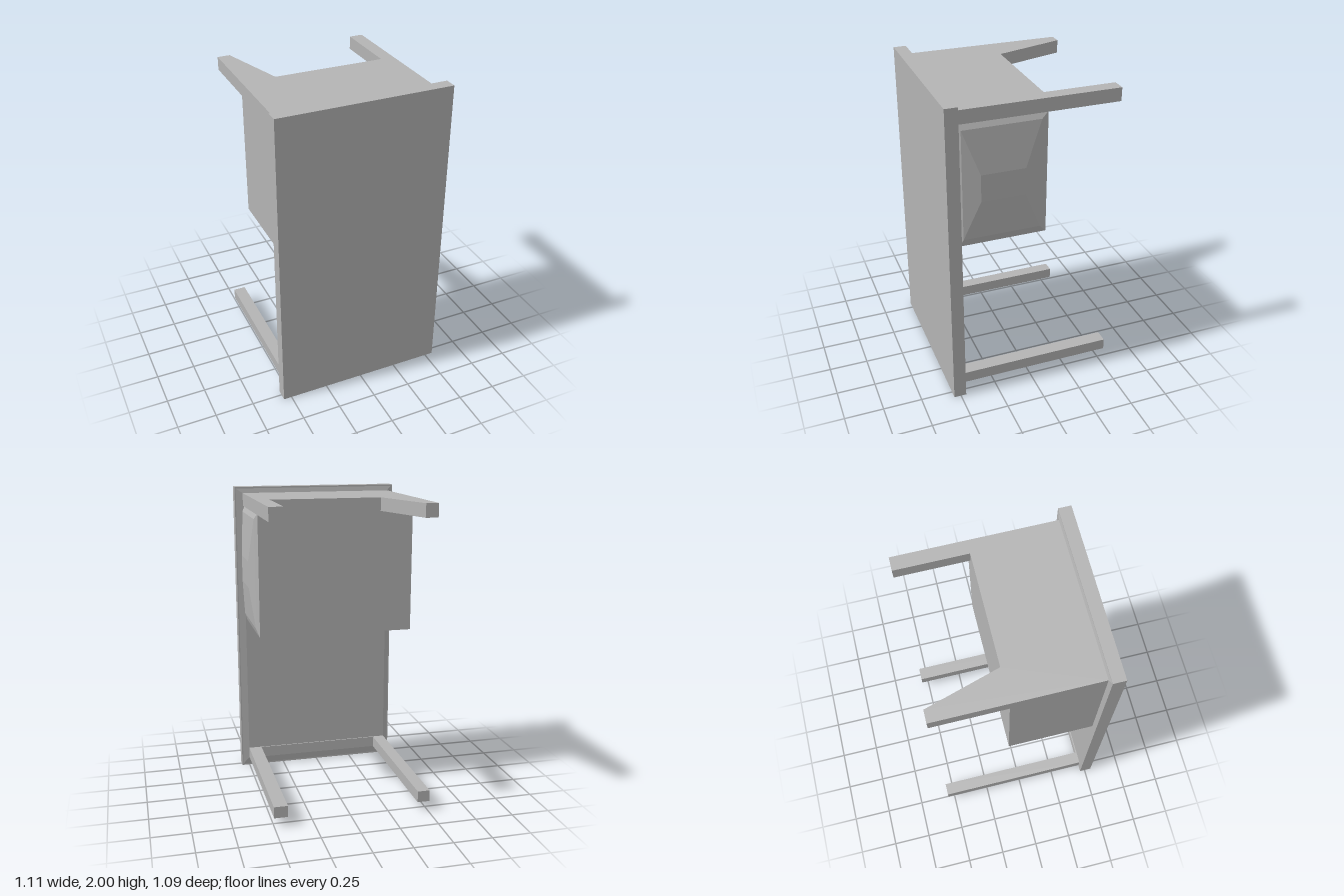
import * as THREE from 'three';

const grey = new THREE.MeshStandardMaterial({ color: 0xb4b4b4 });
grey.name = 'plainGrey';

// Box given by its limits on each axis
function box(name, [x0, x1], [y0, y1], [z0, z1]) {
  const mesh = new THREE.Mesh(new THREE.BoxGeometry(x1 - x0, y1 - y0, z1 - z0), grey);
  mesh.position.set((x0 + x1) / 2, (y0 + y1) / 2, (z0 + z1) / 2);
  mesh.name = name;
  return mesh;
}

// Stepped panel from rectangles [height, u0, u1, y0, y1], capped at the last one
function steppedPanel(name, rings, place) {
  const loops = rings.map(([h, u0, u1, y0, y1]) =>
    [[u1, y0], [u0, y0], [u0, y1], [u1, y1]].map(([u, y]) => place(h, u, y)));
  const pos = [];
  const quad = (a, b, c, d) => [a, b, c, a, c, d].forEach((p) => pos.push(...p));
  for (let r = 0; r + 1 < loops.length; r++) {
    for (let i = 0; i < 4; i++) {
      const j = (i + 1) % 4;
      quad(loops[r][i], loops[r][j], loops[r + 1][j], loops[r + 1][i]);
    }
  }
  quad(...loops[loops.length - 1]);
  const geo = new THREE.BufferGeometry();
  geo.setAttribute('position', new THREE.Float32BufferAttribute(pos, 3));
  geo.computeVertexNormals();
  const mesh = new THREE.Mesh(geo, grey);
  mesh.name = name;
  return mesh;
}

export function createModel() {
  const desk = new THREE.Group();
  desk.name = 'deskOnItsSide';

  // Tabletop standing upright, with a shallow bevelled underside
  desk.add(box('tabletop', [-0.553, 0.553], [0, 2], [0.465, 0.545]));
  desk.add(steppedPanel('tabletopUnderside', [
    [0.465, -0.545, 0.545, 0.01, 1.99],
    [0.458, -0.515, 0.5, 0.06, 1.96],
  ], (h, u, y) => [u, y, h]));

  // Lower pair of legs joined by a thin rail
  const legSpans = { innerLeg: [-0.515, -0.435], outerLeg: [0.412, 0.5] };
  for (const [name, span] of Object.entries(legSpans)) {
    desk.add(box(name, span, [0.058, 0.132], [-0.545, 0.465]));
  }
  desk.add(box('legRail', [-0.435, 0.412], [0.058, 0.132], [0.45, 0.465]));

  // Upper side panel: straight leg on one side, tapered leg on the other
  const outline = new THREE.Shape([
    [-0.515, 0.465], [-0.515, -0.545], [-0.435, -0.545], [-0.3, -0.09],
    [0.412, -0.09], [0.412, -0.545], [0.5, -0.545], [0.5, 0.465],
  ].map(([x, z]) => new THREE.Vector2(x, z)));
  const panelGeo = new THREE.ExtrudeGeometry(outline, { depth: 0.085, bevelEnabled: false });
  panelGeo.rotateX(Math.PI / 2).translate(0, 1.96, 0);
  const panel = new THREE.Mesh(panelGeo, grey);
  panel.name = 'sidePanelWithLegs';
  desk.add(panel);

  // Drawer cabinet and its raised, bevelled front
  desk.add(box('drawerCabinet', [-0.515, 0.49], [1.09, 1.9], [-0.09, 0.465]));
  desk.add(steppedPanel('drawerFront', [
    [0.49, -0.088, 0.46, 1.09, 1.875],
    [0.507, -0.045, 0.44, 1.14, 1.84],
    [0.533, 0.06, 0.335, 1.39, 1.56],
  ], (h, u, y) => [h, y, u]));

  return desk;
}
